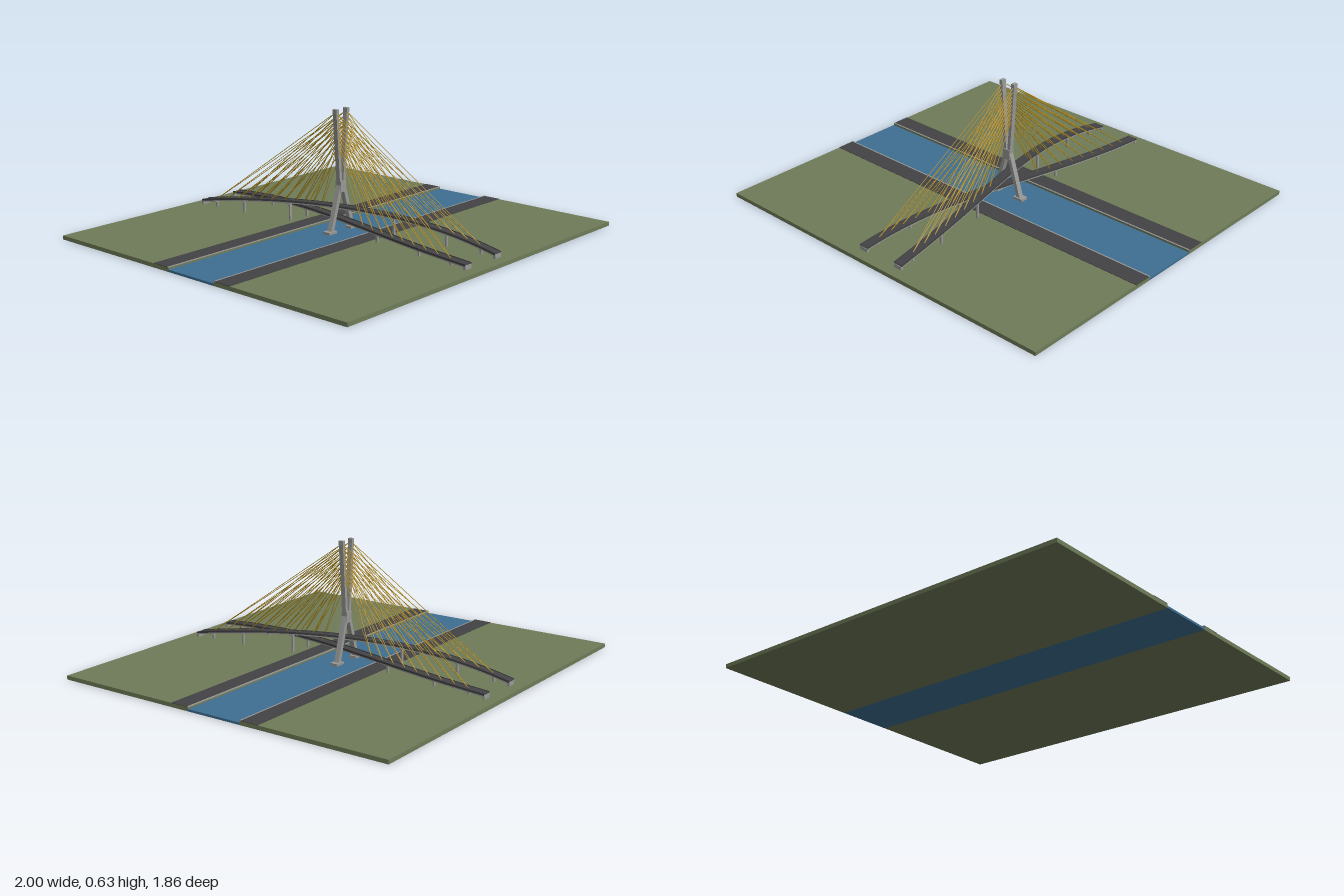
import * as THREE from 'three';

const mat = (name, color, side = THREE.FrontSide) => {
  const m = new THREE.MeshStandardMaterial({ color, side });
  m.name = name;
  return m;
};

export function createModel() {
  const root = new THREE.Group();
  root.name = 'cableStayedBridge';
  const grass = mat('grass', 0x6f7b58);
  const water = mat('water', 0x3f6f92);
  const asphalt = mat('asphalt', 0x434345);
  const concrete = mat('concrete', 0x989896);
  const cableYellow = mat('cableYellow', 0xb8921c);

  const add = (name, geo, material, parent = root) => {
    const mesh = new THREE.Mesh(geo, material);
    mesh.name = name;
    parent.add(mesh);
    return mesh;
  };
  const box = (name, w, h, d, x, y, z, material, parent) => {
    const mesh = add(name, new THREE.BoxGeometry(w, h, d), material, parent);
    mesh.position.set(x, y, z);
    return mesh;
  };
  // Straight member between two points
  const UP = new THREE.Vector3(0, 1, 0);
  const beam = (name, a, b, geoFor, material, parent) => {
    const dir = b.clone().sub(a);
    const mesh = add(name, geoFor(dir.length()), material, parent);
    mesh.position.copy(a).add(b).multiplyScalar(0.5);
    mesh.quaternion.setFromUnitVectors(UP, dir.normalize());
    return mesh;
  };
  const V = (x, y, z) => new THREE.Vector3(x, y, z);

  // Land, river and riverside roads
  box('river', 2, 0.011, 0.3, 0, 0.0055, 0, water);
  for (const s of [-1, 1]) {
    box('riverBank', 2, 0.02, 0.78, 0, 0.01, s * 0.54, grass);
    box('riversideRoad', 2, 0.003, 0.095, 0, 0.0207, s * 0.2025, asphalt);
    box('riverKerb', 2, 0.005, 0.007, 0, 0.0205, s * 0.1535, concrete);
  }

  // Two curved decks that cross at different heights
  const END = 0.87;
  const deckX = (z, s) => s * 0.115 * Math.sin((Math.PI / 2) * THREE.MathUtils.clamp(z / 0.8, -1, 1));
  const deckY = (z, rise) => 0.042 + rise * (1 - (z / END) ** 2);

  // Sweeps a rectangular section along the deck path
  const ribbon = (s, rise, offset, width, bottom, top) => {
    const n = 48, pos = [], idx = [];
    const corners = [[-1, bottom], [1, bottom], [1, top], [-1, top]];
    for (let face = 0; face < 4; face++) {
      const pair = [corners[face], corners[(face + 1) % 4]];
      const base = pos.length / 3;
      for (let i = 0; i <= n; i++) {
        const z = -END + (2 * END * i) / n;
        for (const [side, h] of pair)
          pos.push(deckX(z, s) + offset + (side * width) / 2, deckY(z, rise) + h, z);
        if (i < n) {
          const a = base + i * 2;
          idx.push(a, a + 1, a + 2, a + 1, a + 3, a + 2);
        }
      }
    }
    // End caps
    for (const z of [-END, END]) {
      const base = pos.length / 3;
      for (const [side, h] of corners)
        pos.push(deckX(z, s) + offset + (side * width) / 2, deckY(z, rise) + h, z);
      if (z > 0) idx.push(base, base + 1, base + 2, base, base + 2, base + 3);
      else idx.push(base, base + 2, base + 1, base, base + 3, base + 2);
    }
    const g = new THREE.BufferGeometry();
    g.setAttribute('position', new THREE.Float32BufferAttribute(pos, 3));
    g.setIndex(idx);
    g.computeVertexNormals();
    return g;
  };

  const decks = [
    { name: 'upperDeck', s: 1, rise: 0.094 },
    { name: 'lowerDeck', s: -1, rise: 0.034 },
  ];
  for (const { name, s, rise } of decks) {
    const deck = new THREE.Group();
    deck.name = name;
    root.add(deck);
    add('deckGirder', ribbon(s, rise, 0, 0.048, -0.01, 0), concrete, deck);
    add('deckRoad', ribbon(s, rise, 0, 0.044, 0, 0.003), asphalt, deck);
    for (const e of [-1, 1])
      add('deckParapet', ribbon(s, rise, e * 0.0235, 0.003, -0.004, 0.006), asphalt, deck);
    // Piers and end abutments
    for (const z of [-0.775, -0.58, -0.29, 0.29, 0.58, 0.775]) {
      const top = deckY(z, rise) - 0.008;
      box('pier', 0.012, top - 0.018, 0.01, deckX(z, s), (top + 0.018) / 2, z, concrete, deck);
      box('pierCap', 0.036, 0.006, 0.012, deckX(z, s), top - 0.004, z, concrete, deck);
    }
    for (const e of [-1, 1])
      box('abutment', 0.046, 0.02, 0.012, e * s * 0.115, 0.028, e * (END - 0.004), concrete, deck);
  }

  // X-shaped tower
  const tower = new THREE.Group();
  tower.name = 'tower';
  root.add(tower);
  const leg = (w, d) => (len) => new THREE.BoxGeometry(w, len, d);
  for (const s of [-1, 1]) {
    box('towerFooting', 0.056, 0.018, 0.042, s * 0.08, 0.014, 0, concrete, tower);
    beam('lowerLeg', V(s * 0.078, 0.015, 0), V(s * 0.008, 0.25, 0), leg(0.02, 0.026), concrete, tower);
    beam('upperLeg', V(s * 0.01, 0.23, 0), V(s * 0.038, 0.612, 0), leg(0.017, 0.024), concrete, tower);
    box('legCap', 0.018, 0.022, 0.026, s * 0.038, 0.618, 0, concrete, tower);
  }
  box('towerCrossing', 0.038, 0.055, 0.036, 0, 0.24, 0, concrete, tower);

  // Stay cables fanning from both upper legs to each deck
  const cables = new THREE.Group();
  cables.name = 'stayCables';
  root.add(cables);
  const COUNT = 9;
  const wire = (len) => new THREE.CylinderGeometry(0.0018, 0.0018, len, 5);
  for (const { s, rise } of decks)
    for (const end of [-1, 1])
      for (const side of [-1, 1])
        for (let i = 0; i < COUNT; i++) {
          const t = i / (COUNT - 1);
          const z = end * (0.18 + 0.595 * t);
          const y = 0.43 + 0.178 * t;
          const x = side * (0.01 + (0.028 * (y - 0.23)) / 0.382);
          beam('stayCable', V(x, y, end * 0.008), V(deckX(z, s), deckY(z, rise), z), wire, cableYellow, cables);
        }

  return root;
}
